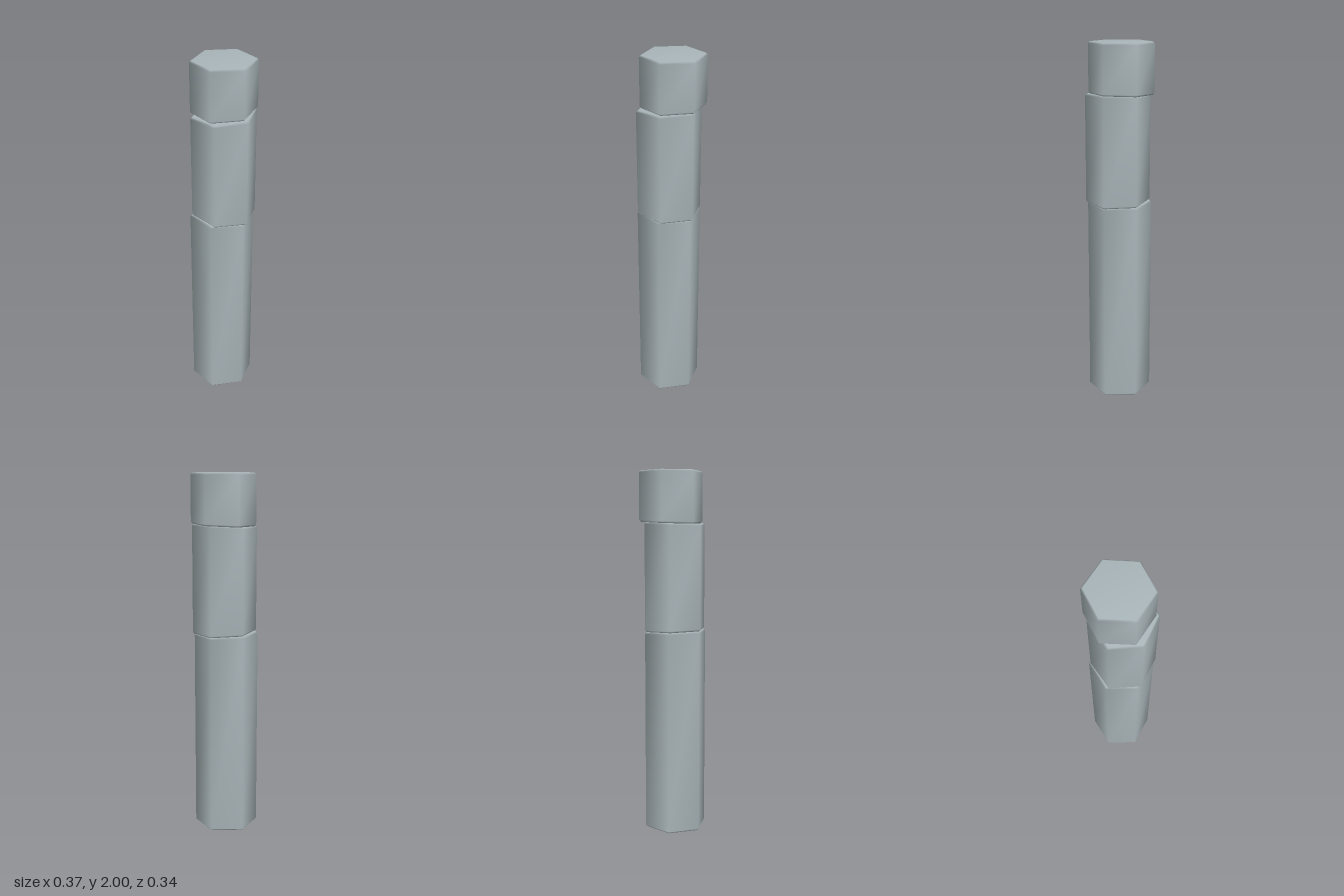
import * as THREE from 'three';

const SIDES = 6, BEVEL = 0.01;
const stone = new THREE.MeshStandardMaterial({ color: 0xaab6ba });
stone.name = 'blueGreyStone';

// Bevelled hexagonal prism with smooth normals; each end is a plane y + slope * x.
function hexBlock({ name, x, z, radius, turn, bottom, top }) {
  const pos = [], index = [];
  const heightAt = (end, px) => end.y + end.slope * px;
  const rings = [
    { end: bottom, r: radius - BEVEL, dy: 0 },
    { end: bottom, r: radius, dy: BEVEL },
    { end: top, r: radius, dy: -BEVEL },
    { end: top, r: radius - BEVEL, dy: 0 },
  ];
  for (const { end, r, dy } of rings) {
    for (let i = 0; i < SIDES; i++) {
      const a = THREE.MathUtils.degToRad(turn) + (i / SIDES) * Math.PI * 2;
      const px = x + r * Math.cos(a);
      pos.push(px, heightAt(end, px) + dy, z - r * Math.sin(a));
    }
  }
  pos.push(x, heightAt(bottom, x), z, x, heightAt(top, x), z);
  const low = rings.length * SIDES, high = low + 1, last = low - SIDES;
  for (let i = 0; i < SIDES; i++) {
    const n = (i + 1) % SIDES;
    // Walls and bevels
    for (let k = 0; k < last; k += SIDES) {
      const a = k + i, b = k + n, c = b + SIDES, d = a + SIDES;
      index.push(a, b, c, a, c, d);
    }
    // End caps
    index.push(low, n, i, high, last + i, last + n);
  }
  const geometry = new THREE.BufferGeometry();
  geometry.setAttribute('position', new THREE.Float32BufferAttribute(pos, 3));
  geometry.setIndex(index);
  geometry.computeVertexNormals();
  const mesh = new THREE.Mesh(geometry, stone);
  mesh.name = name;
  return mesh;
}

export function createModel() {
  const group = new THREE.Group();
  group.name = 'hexagonalColumn';
  const ground = { y: 0, slope: 0 }, crown = { y: 2, slope: 0 };
  // Slightly sloping cracks between the three blocks
  const lowerJoint = { y: 1.126, slope: -0.04 }, upperJoint = { y: 1.722, slope: 0.04 };
  group.add(
    hexBlock({ name: 'lowerBlock', x: -0.009, z: 0.006, radius: 0.176, turn: 0, bottom: ground, top: lowerJoint }),
    hexBlock({ name: 'middleBlock', x: 0, z: 0.012, radius: 0.177, turn: 3.2, bottom: lowerJoint, top: upperJoint }),
    hexBlock({ name: 'topBlock', x: 0.0065, z: -0.013, radius: 0.177, turn: -4.5, bottom: upperJoint, top: crown }),
  );
  return group;
}
